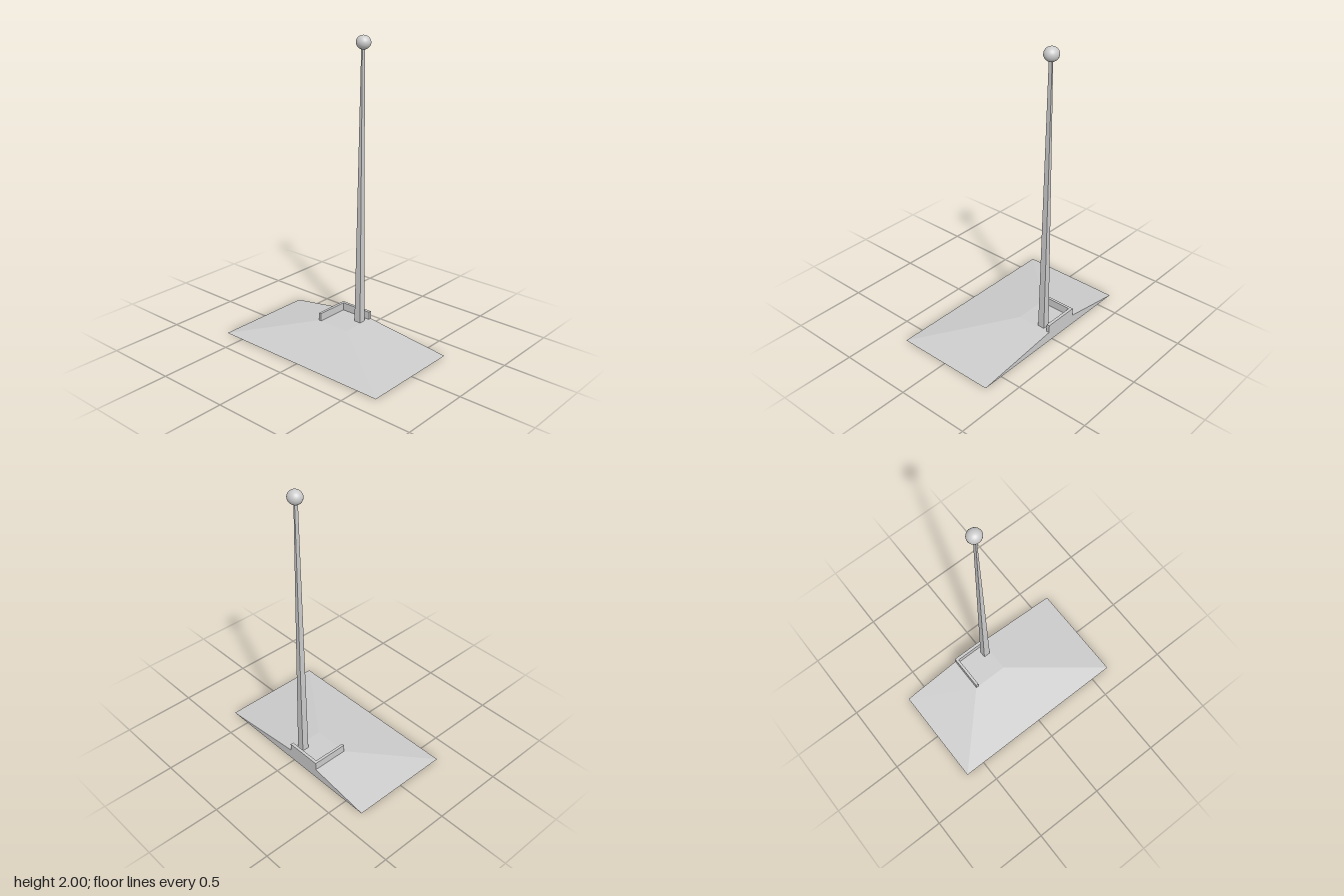
import * as THREE from 'three';

const material = new THREE.MeshStandardMaterial({ color: 0xcccccc, flatShading: true });
const smooth = new THREE.MeshStandardMaterial({ color: 0xcccccc });

// Block whose bottom and top rectangles [x0, x1, z0, z1] may differ
function taperedBlock(name, y0, y1, bottom, top = bottom) {
  const geometry = new THREE.BoxGeometry(1, 1, 1);
  const p = geometry.attributes.position;
  for (let i = 0; i < p.count; i++) {
    const up = p.getY(i) > 0;
    const r = up ? top : bottom;
    p.setXYZ(i, r[p.getX(i) > 0 ? 1 : 0], up ? y1 : y0, r[p.getZ(i) > 0 ? 3 : 2]);
  }
  geometry.computeVertexNormals();
  const mesh = new THREE.Mesh(geometry, material);
  mesh.name = name;
  return mesh;
}

export function createModel() {
  const model = new THREE.Group();
  model.name = 'poleOnSlopedBase';

  const deck = 0.068, curbTop = 0.122;
  const left = -0.216, right = 0.032, back = -0.352, front = -0.1;

  // Base: sloped on three sides, upright at the back
  model.add(taperedBlock('base', 0, deck, [-0.643, 0.643, back, 0.352], [left, right, back, front]));

  // L-shaped curb around the platform
  model.add(taperedBlock('sideCurb', deck, curbTop, [left, -0.197, back, front]));
  model.add(taperedBlock('backCurb', deck, curbTop, [-0.197, right, back, -0.331]));

  // Pole: narrows towards the top, back face upright
  model.add(taperedBlock('pole', deck, 1.93, [-0.028, 0.021, -0.298, -0.25], [-0.012, -0.003, -0.298, -0.274]));

  // Finial ball, very slightly stretched sideways
  const ball = new THREE.Mesh(new THREE.SphereGeometry(1, 32, 20), smooth);
  ball.name = 'ball';
  ball.scale.set(0.049, 0.045, 0.046);
  ball.position.set(-0.007, 1.955, -0.29);
  model.add(ball);

  return model;
}
